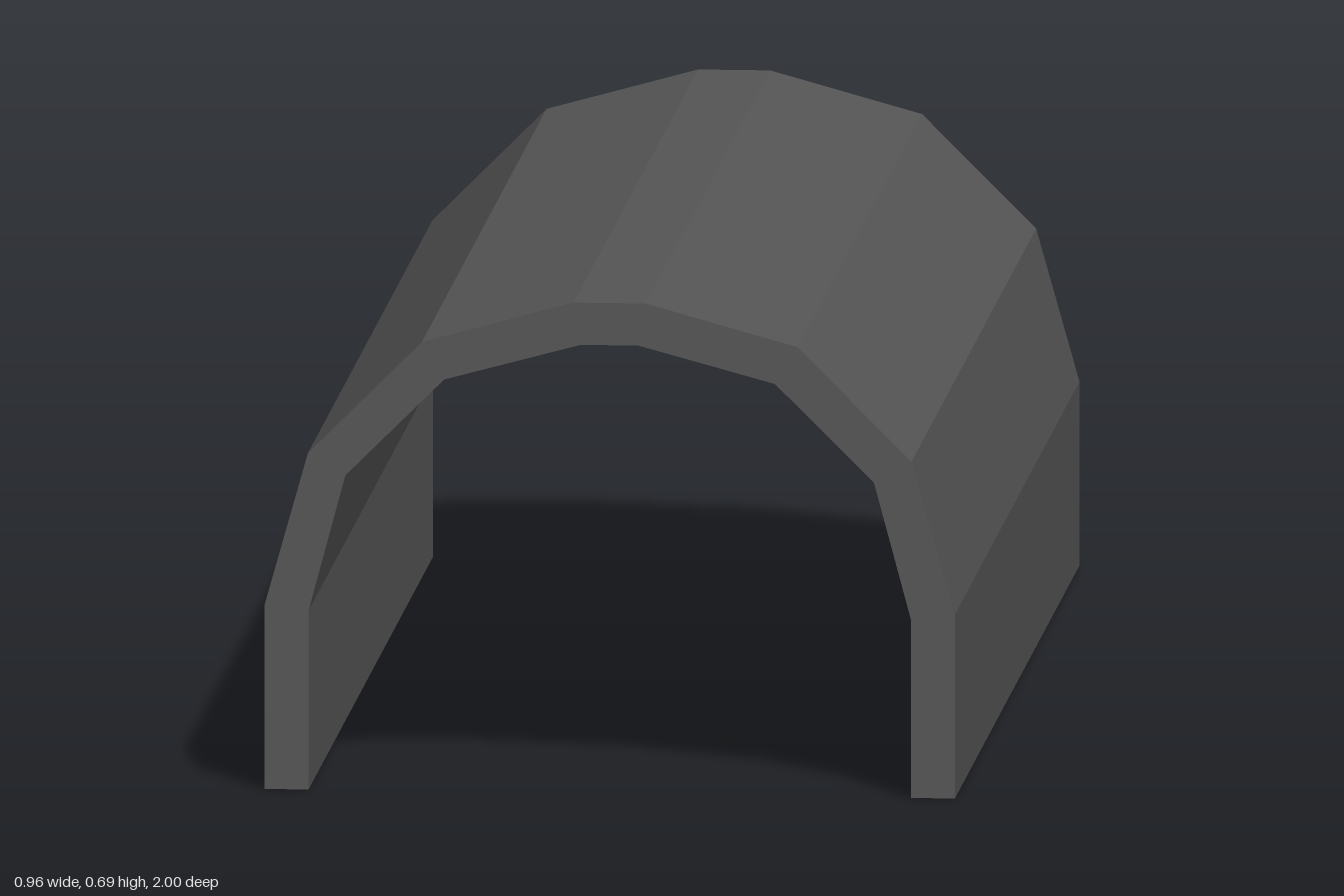
import * as THREE from 'three';

export function createModel() {
  const model = new THREE.Group();
  model.name = 'archedTunnel';

  // Right half of the faceted arch, from the foot up to the crown
  const outer = [[0.478, 0], [0.478, 0.257], [0.418, 0.47], [0.26, 0.628], [0.05, 0.686]];
  const inner = [[0.417, 0], [0.417, 0.25], [0.366, 0.44], [0.229, 0.576], [0.04, 0.627]];

  // Mirror a half profile into a full arch running from +x to -x
  const arch = (half) => [...half, ...half.map(([x, y]) => [-x, y]).reverse()];
  const outline = [...arch(outer), ...arch(inner).reverse()];

  // Shell: the arch section swept along z
  const shape = new THREE.Shape(outline.map(([x, y]) => new THREE.Vector2(x, y)));
  const geometry = new THREE.ExtrudeGeometry(shape, { depth: 2, bevelEnabled: false });
  geometry.translate(0, 0, -1);

  const material = new THREE.MeshStandardMaterial({ color: 0x565656, flatShading: true });
  const shell = new THREE.Mesh(geometry, material);
  shell.name = 'archShell';
  model.add(shell);
  return model;
}
